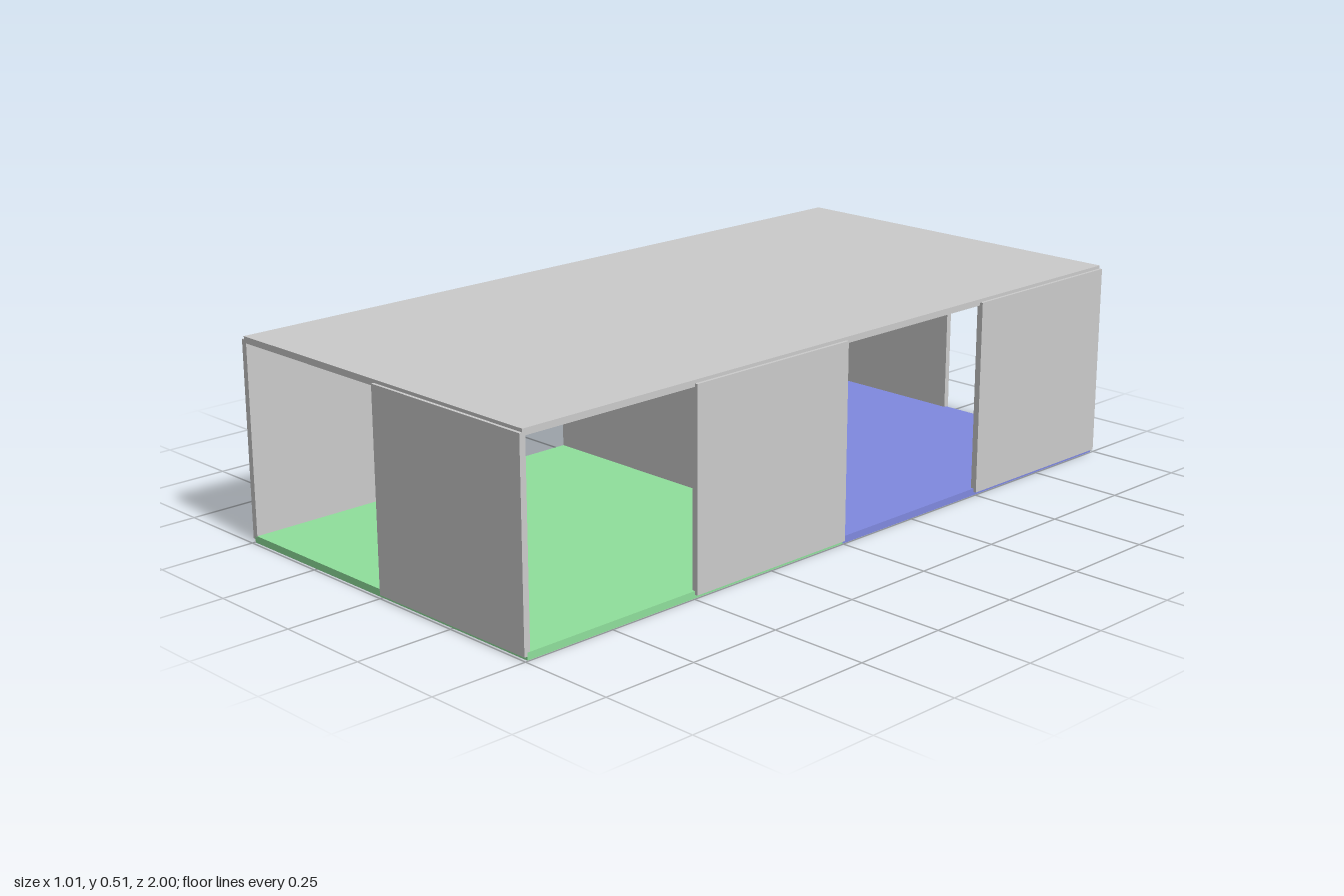
import * as THREE from 'three';

export function createModel() {
  const model = new THREE.Group();
  const W = 0.497, L = 0.992, T = 0.016; // half width, half length, panel thickness
  const low = 0.009, high = 0.505;       // wall bottom and top

  const material = (color) => new THREE.MeshStandardMaterial({ color });
  const grey = material(0xcccccc);
  const green = material(0x90e09c);
  const blue = material(0x8089e0);

  // Box given by its extents along each axis
  function panel(name, [x0, x1], [y0, y1], [z0, z1], mat) {
    const mesh = new THREE.Mesh(new THREE.BoxGeometry(x1 - x0, y1 - y0, z1 - z0), mat);
    mesh.position.set((x0 + x1) / 2, (y0 + y1) / 2, (z0 + z1) / 2);
    mesh.name = name;
    model.add(mesh);
  }
  const around = (c) => [c - T / 2, c + T / 2];

  // Two floor halves and one roof slab
  panel('frontFloor', [-W, W], [0, 0.018], [0, L], green);
  panel('backFloor', [-W, W], [0, 0.018], [-L, 0], blue);
  panel('roof', [-W, W], [0.497, 0.513], [-L, L], grey);

  // Half-width cross walls: front, middle divider, back
  panel('frontWall', [0, W], [low, high], around(L), grey);
  panel('dividerWall', [-W, 0], [low, high], around(0), grey);
  panel('backWall', [-W, 0], [low, high], around(-L), grey);

  // Side walls alternate with openings, staggered from side to side
  for (let i = 0; i < 4; i++) {
    const z = -L + (i * L) / 2;
    const left = i % 2 === 0;
    panel(left ? 'leftWall' : 'rightWall', around(left ? W : -W), [low, high], [z, z + L / 2], grey);
  }

  return model;
}
